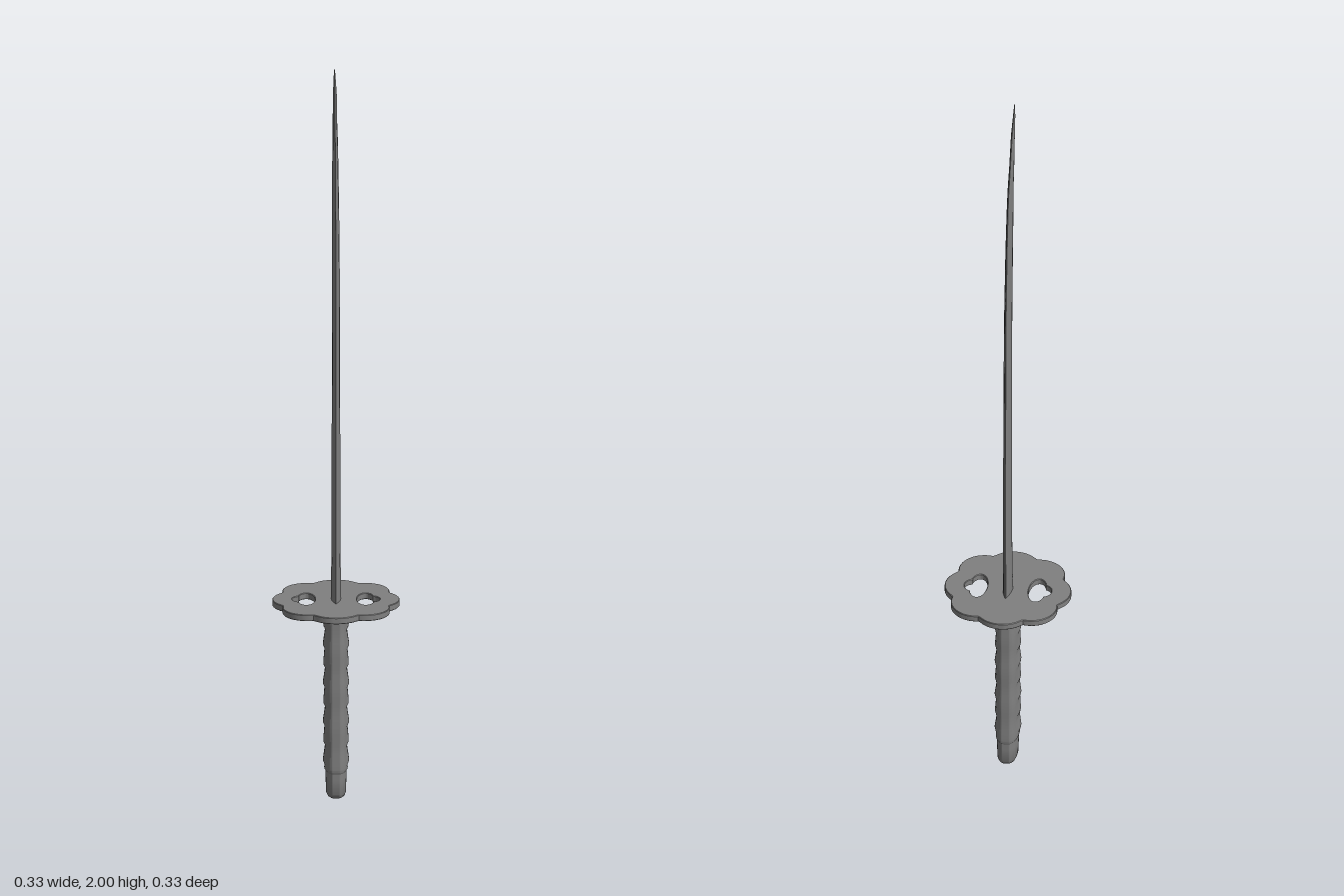
import * as THREE from 'three';
import { toCreasedNormals } from 'three/addons/utils/BufferGeometryUtils.js';

const material = new THREE.MeshStandardMaterial({ color: 0x808080 });
const rad = THREE.MathUtils.degToRad;

// Skin a stack of rings (arrays of [x, y, z]) and close both ends
function loft(rings, crease) {
  const n = rings[0].length, last = rings.length - 1;
  const pos = rings.flat(2), index = [];
  for (let j = 0; j < last; j++) {
    for (let i = 0; i < n; i++) {
      const a = j * n + i, b = j * n + (i + 1) % n;
      index.push(a, a + n, b, b, a + n, b + n);
    }
  }
  for (let i = 1; i < n - 1; i++) {
    index.push(0, i, i + 1);
    index.push(last * n, last * n + i + 1, last * n + i);
  }
  const g = new THREE.BufferGeometry();
  g.setAttribute('position', new THREE.Float32BufferAttribute(pos, 3));
  g.setIndex(index);
  return toCreasedNormals(g, crease);
}

// Rounded oval ring; knot swells the middle of the two flat sides
function ovalRing(y, a, b, knot = 0, n = 56) {
  const p = 2 / 2.5;
  return Array.from({ length: n }, (_, i) => {
    const t = i / n * Math.PI * 2, c = Math.cos(t), s = Math.sin(t);
    const z = b * Math.sign(s) * Math.abs(s) ** p;
    const swell = knot * Math.exp(-((z / 0.022) ** 4));
    return [Math.sign(c) * (a * Math.abs(c) ** p + swell), y, z];
  });
}

function add(parent, name, geometry) {
  const mesh = new THREE.Mesh(geometry, material);
  mesh.name = name;
  parent.add(mesh);
}

// Curved blade: sharp edge towards +z, narrow spine towards -z
function bladeGeometry() {
  // y, spine z, edge z, half thickness, x drift
  const stations = [
    [0.52, -0.048, 0.045, 0.013, 0], [0.6, -0.048, 0.042, 0.0125, 0],
    [0.68, -0.049, 0.039, 0.0115, 0], [1.0, -0.049, 0.037, 0.011, 0],
    [1.2, -0.047, 0.042, 0.0105, 0], [1.4, -0.041, 0.051, 0.010, 0],
    [1.6, -0.031, 0.063, 0.009, -0.001], [1.72, -0.020, 0.072, 0.008, -0.002],
    [1.78, -0.006, 0.077, 0.007, -0.002], [1.84, 0.015, 0.083, 0.006, -0.003],
    [1.92, 0.05, 0.089, 0.005, -0.003], [1.97, 0.078, 0.093, 0.003, -0.004],
    [2.0, 0.0945, 0.096, 0.001, -0.004],
  ];
  // Half section: fraction from spine to edge, fraction of thickness
  const half = [[0, 0.08], [0.15, 0.5], [0.32, 0.85], [0.5, 1], [0.68, 0.82], [0.85, 0.45]];
  return loft(stations.map(([y, back, edge, h, dx]) => {
    const at = (s) => ([f, w]) => [dx + s * w * h, y, back + (edge - back) * f];
    return [...half.map(at(1)), [dx, y, edge], ...half.map(at(-1)).reverse()];
  }), 0.35);
}

// Eight-lobed guard with a pair of pierced openings
function guardGeometry() {
  const pts = [];
  const arc = (cx, cy, r, from, to, turn) => {
    for (let i = 0; i <= 16; i++) {
      const t = rad(from + (to - from) * i / 16);
      pts.push(new THREE.Vector2(cx + r * Math.cos(t), cy + r * Math.sin(t))
        .rotateAround(new THREE.Vector2(), turn));
    }
  };
  for (let q = 0; q < 4; q++) {
    arc(0.094, 0, 0.071, -48, 48, q * Math.PI / 2);
    arc(0.0715, 0.0715, 0.067, -11, 101, q * Math.PI / 2);
  }
  const shape = new THREE.Shape(pts);
  for (const side of [1, -1]) {
    const hole = [];
    for (let i = 0; i <= 32; i++) {
      const t = rad(38 + 284 * i / 32);
      hole.push(new THREE.Vector2(side * (0.077 + 0.023 * Math.cos(t)), 0.05 * Math.sin(t)));
    }
    for (let i = 0; i <= 16; i++) {
      const t = rad(-75 + 150 * i / 16);
      hole.push(new THREE.Vector2(side * (0.089 + 0.025 * Math.cos(t)), 0.026 * Math.sin(t)));
    }
    shape.holes.push(new THREE.Path(hole));
  }
  const g = new THREE.ExtrudeGeometry(shape, {
    depth: 0.014, bevelThickness: 0.0015, bevelSize: 0.0015,
    bevelOffset: -0.0015, bevelSegments: 1,
  });
  g.rotateX(-Math.PI / 2).translate(0, 0.5145, 0);
  return toCreasedNormals(g, 0.4);
}

// Grip: each wrap knot rises sharply at its lower lip and fades upwards
function gripGeometry() {
  const rings = [ovalRing(0.068, 0.026, 0.051)];
  for (let i = 0; i <= 130; i++) {
    const y = 0.074 + 0.442 * i / 130;
    const turns = (y - 0.0825) / 0.0525;
    const f = turns - Math.floor(turns);
    const knot = 0.006 * (1 - f) * THREE.MathUtils.smoothstep(f, 0, 0.25);
    const wave = 0.0006 * Math.cos(turns * Math.PI);
    rings.push(ovalRing(y, 0.029 + wave, 0.0545 + wave, knot));
  }
  return loft(rings, 0.8);
}

export function createModel() {
  const sword = new THREE.Group();
  sword.name = 'sword';

  add(sword, 'blade', bladeGeometry());
  add(sword, 'guard', guardGeometry());
  add(sword, 'grip', gripGeometry());

  // Pommel cap with rounded foot
  add(sword, 'pommel', loft([
    ovalRing(0, 0.019, 0.041), ovalRing(0.003, 0.023, 0.045),
    ovalRing(0.01, 0.026, 0.048), ovalRing(0.05, 0.027, 0.049),
    ovalRing(0.075, 0.027, 0.049),
  ], 0.9));

  return sword;
}
